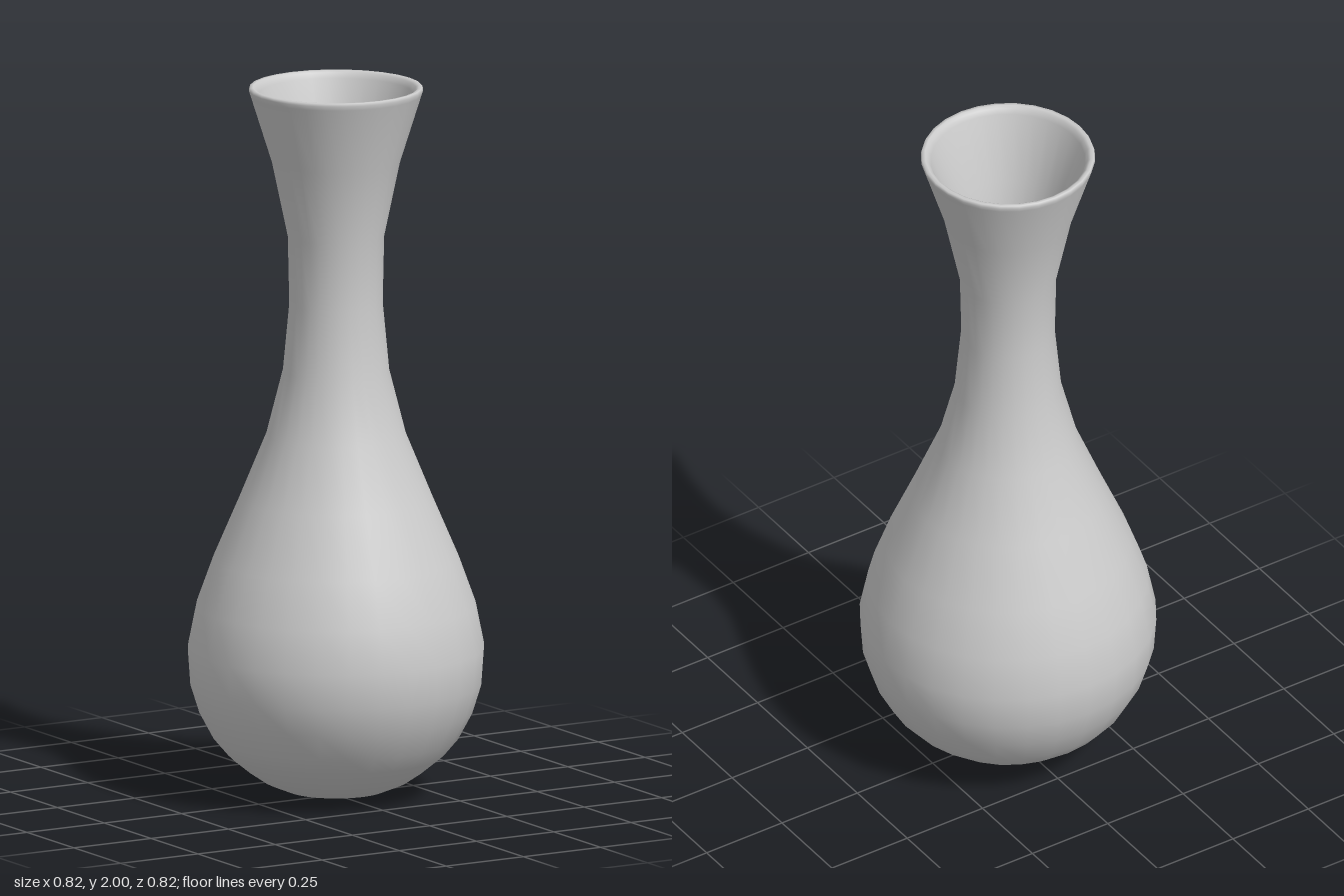
import * as THREE from 'three';

const WALL = 0.032;
const SIDES = 28;

// Outer silhouette as [radius, height], from base centre to mouth
const OUTER = [
  [0, 0], [0.07, 0.004], [0.14, 0.018], [0.2, 0.043], [0.25, 0.077], [0.3, 0.118],
  [0.34, 0.165], [0.38, 0.24], [0.405, 0.32], [0.412, 0.42], [0.388, 0.54],
  [0.341, 0.67], [0.268, 0.84], [0.194, 1.02], [0.148, 1.2], [0.13, 1.39],
  [0.134, 1.58], [0.178, 1.79], [0.238, 1.98],
].map(([r, y]) => new THREE.Vector2(r, y));

// Offset the silhouette inward by the wall thickness
function offsetInward(points) {
  return points.map((p, i) => {
    if (p.x === 0) return new THREE.Vector2(0, p.y + WALL);
    const before = points[i - 1];
    const after = points[Math.min(i + 1, points.length - 1)];
    const t = after.clone().sub(before).normalize();
    return new THREE.Vector2(Math.max(0, p.x - t.y * WALL), p.y + t.x * WALL);
  });
}

export function createModel() {
  const group = new THREE.Group();
  group.name = 'vase';

  // Rounded lip joins the outside to the inside
  const lip = [[0.242, 1.992], [0.239, 2], [0.23, 2], [0.222, 1.995]]
    .map(([r, y]) => new THREE.Vector2(r, y));
  const inner = offsetInward(OUTER).reverse();
  inner[0].set(0.214, 1.98);

  const body = new THREE.Mesh(
    new THREE.LatheGeometry([...OUTER, ...lip, ...inner], SIDES),
    new THREE.MeshStandardMaterial({ color: 0xcccccc }),
  );
  body.name = 'vaseBody';
  group.add(body);
  return group;
}
